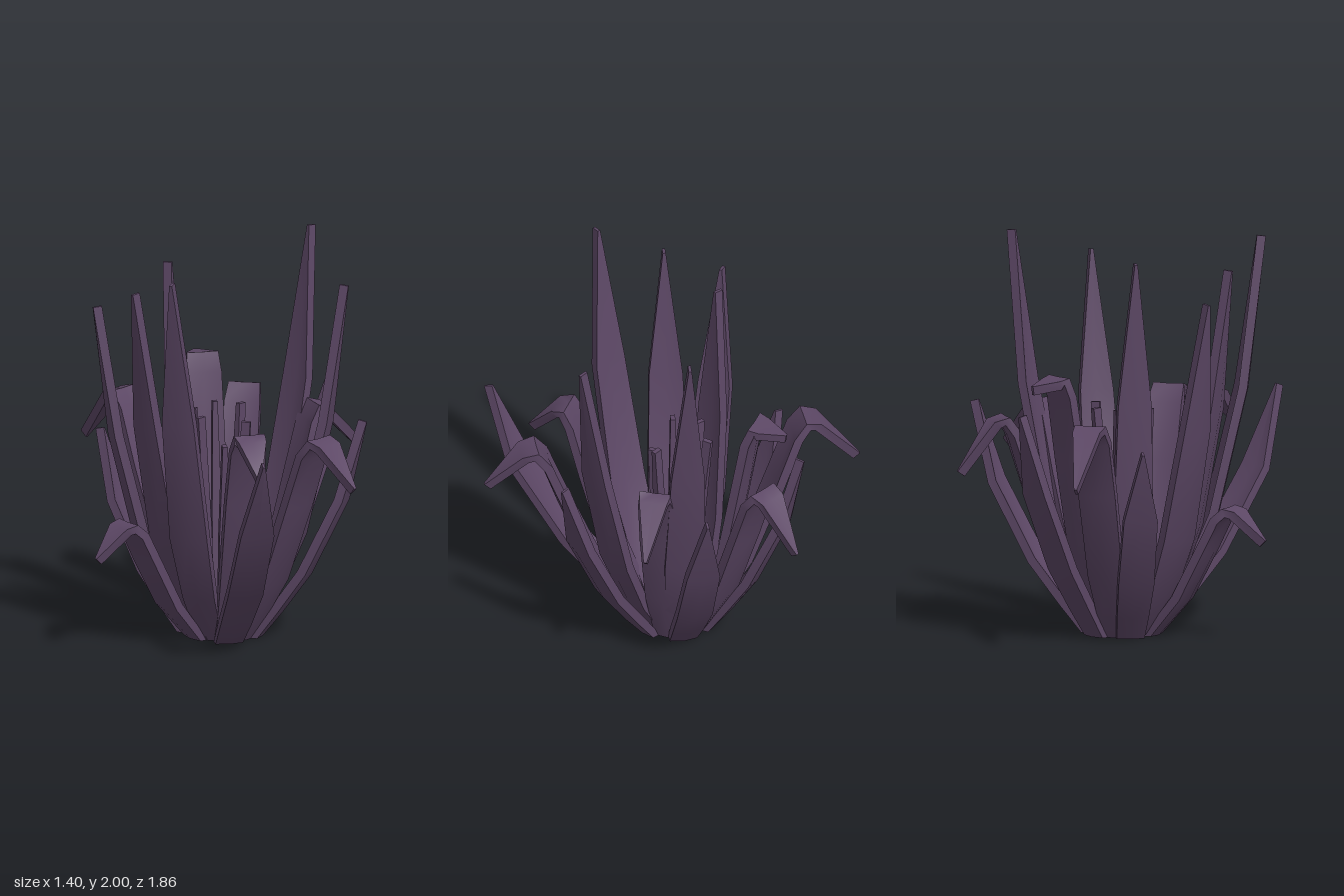
import * as THREE from 'three';
import { toCreasedNormals } from 'three/addons/utils/BufferGeometryUtils.js';

const CX = -0.03, CZ = -0.08; // centre of the rosette

// Station lists: [outward fraction, height fraction, width, cupping]
const SHORT = [[0, 0, 0.14, 0.1], [0.2, 0.13, 0.16, 0.1], [0.47, 0.31, 0.18, 0.1], [0.82, 0.65, 0.17, 0.1], [1, 1, 0.012, 0]];
const TALL = [[0, 0, 0.14, 0.1], [0.3, 0.13, 0.17, 0.1], [0.56, 0.3, 0.2, 0.1], [0.83, 0.62, 0.17, 0.1], [1, 1, 0.015, 0]];
const SPIKE = [[0, 0, 0.05, 0], [0.5, 0.5, 0.05, 0], [1, 1, 0.025, 0]];
// The drooping leaf rises to its peak, then folds over to the tip
const RISE = [[0, 0, 0.14, 0.1], [0.4, 0.3, 0.18, 0.1], [0.72, 0.68, 0.19, 0.1], [0.9, 0.92, 0.18, 0.06], [1, 0.985, 0.16, 0.02], [1.1, 0.97, 0.14, 0.02]];

// Sweeps a slightly cupped six-point section along a path of [radius, height, width, cupping]
function bladeGeometry(path, angle, thickness) {
  const d = [Math.cos(angle), Math.sin(angle)], t = [-d[1], d[0]];
  const pos = [], index = [], k = thickness / 2, last = path.length - 1;
  path.forEach(([r, y, w, c], i) => {
    const a = path[Math.max(i - 1, 0)], b = path[Math.min(i + 1, last)];
    const len = Math.hypot(b[0] - a[0], b[1] - a[1]);
    // the base is cut flat on the ground
    const nr = i === 0 ? 1 : (b[1] - a[1]) / len;
    const ny = i === 0 ? 0 : -(b[0] - a[0]) / len;
    const h = w / 2, cup = w * c;
    const loop = [[-h, -k], [0, -k + cup], [h, -k], [h, k], [0, k + cup], [-h, k]];
    for (const [u, v0] of loop) {
      const v = v0 - cup / 2, rr = r + nr * v;
      pos.push(CX + d[0] * rr + t[0] * u, y + ny * v, CZ + d[1] * rr + t[1] * u);
    }
  });
  for (let i = 0; i < last; i++) {
    for (let j = 0; j < 6; j++) {
      const a = i * 6 + j, b = i * 6 + (j + 1) % 6;
      index.push(a, b, b + 6, a, b + 6, a + 6);
    }
  }
  // end caps fan out from the middle of the inner face
  const e = last * 6;
  for (let j = 2; j < 6; j++) {
    const n = (j + 1) % 6;
    index.push(e + 1, e + j, e + n, 1, n, j);
  }
  const g = new THREE.BufferGeometry();
  g.setAttribute('position', new THREE.Float32BufferAttribute(pos, 3));
  g.setIndex(index);
  return toCreasedNormals(g, 0.8);
}

export function createModel() {
  const model = new THREE.Group();
  model.name = 'spikyPlant';
  const leafPurple = new THREE.MeshStandardMaterial({ color: 0x5c4765 });
  leafPurple.name = 'leafPurple';

  const add = (name, path, angle, thickness) => {
    const mesh = new THREE.Mesh(bladeGeometry(path, angle, thickness), leafPurple);
    mesh.name = name;
    model.add(mesh);
  };
  const polar = (x, z) => [Math.hypot(x - CX, z - CZ), Math.atan2(z - CZ, x - CX)];
  const straight = (name, stations, r0, x, y, z, thickness = 0.045) => {
    const [r, angle] = polar(x, z);
    add(name, stations.map(([s, h, w, c]) => [r0 + (r - r0) * s, y * h, w, c]), angle, thickness);
  };

  // Outer upright leaves, by tip position
  [[0.14, 1.15, 0.91], [0.67, 1.15, 0.13], [-0.62, 1.0, -0.32],
    [-0.15, 1.16, -0.74], [0.53, 1.14, -0.62]]
    .forEach(([x, y, z], i) => straight('outerLeaf' + (i + 1), SHORT, 0.19, x, y, z));

  // Tall inner leaves
  [[0.44, 2.0, -0.46], [-0.3, 1.99, 0.55], [-0.47, 1.86, 0.26],
    [0.58, 1.84, 0.08], [-0.65, 1.73, 0.03], [-0.29, 1.9, -0.17]]
    .forEach(([x, y, z], i) => straight('tallLeaf' + (i + 1), TALL, 0.13, x, y, z));

  // Drooping leaves: tip x, y, z, then peak height and peak distance as part of the tip's
  [[0.17, 0.84, -0.91, 1.12, 0.74], [0.68, 0.89, -0.35, 1.14, 0.68],
    [0.6, 0.93, 0.63, 1.15, 0.75], [0.13, 0.99, 0.66, 1.18, 0.76],
    [-0.66, 0.5, 0.35, 0.66, 0.76], [-0.68, 0.85, -0.74, 1.14, 0.72],
    [-0.13, 1.28, -0.67, 1.34, 0.74]]
    .forEach(([x, y, z, peak, part], i) => {
      const [r, angle] = polar(x, z), r0 = 0.16;
      const path = RISE.map(([s, h, w, c]) => [r0 + (r * part - r0) * s, peak * h, w, c]);
      path.push([r, y, 0.015, 0]);
      add('droopingLeaf' + (i + 1), path, angle, 0.045);
    });

  // Thin spikes in the middle: angle in degrees, tip distance, height
  [[-97, 0.18, 1.15], [-45, 0.15, 1.16], [13, 0.13, 1.1],
    [83, 0.12, 1.0], [143, 0.13, 1.14], [203, 0.15, 1.15]]
    .forEach(([deg, r, y], i) => {
      const a = deg * Math.PI / 180;
      straight('centreSpike' + (i + 1), SPIKE, 0.07,
        CX + Math.cos(a) * r, y, CZ + Math.sin(a) * r, 0.045);
    });

  return model;
}
